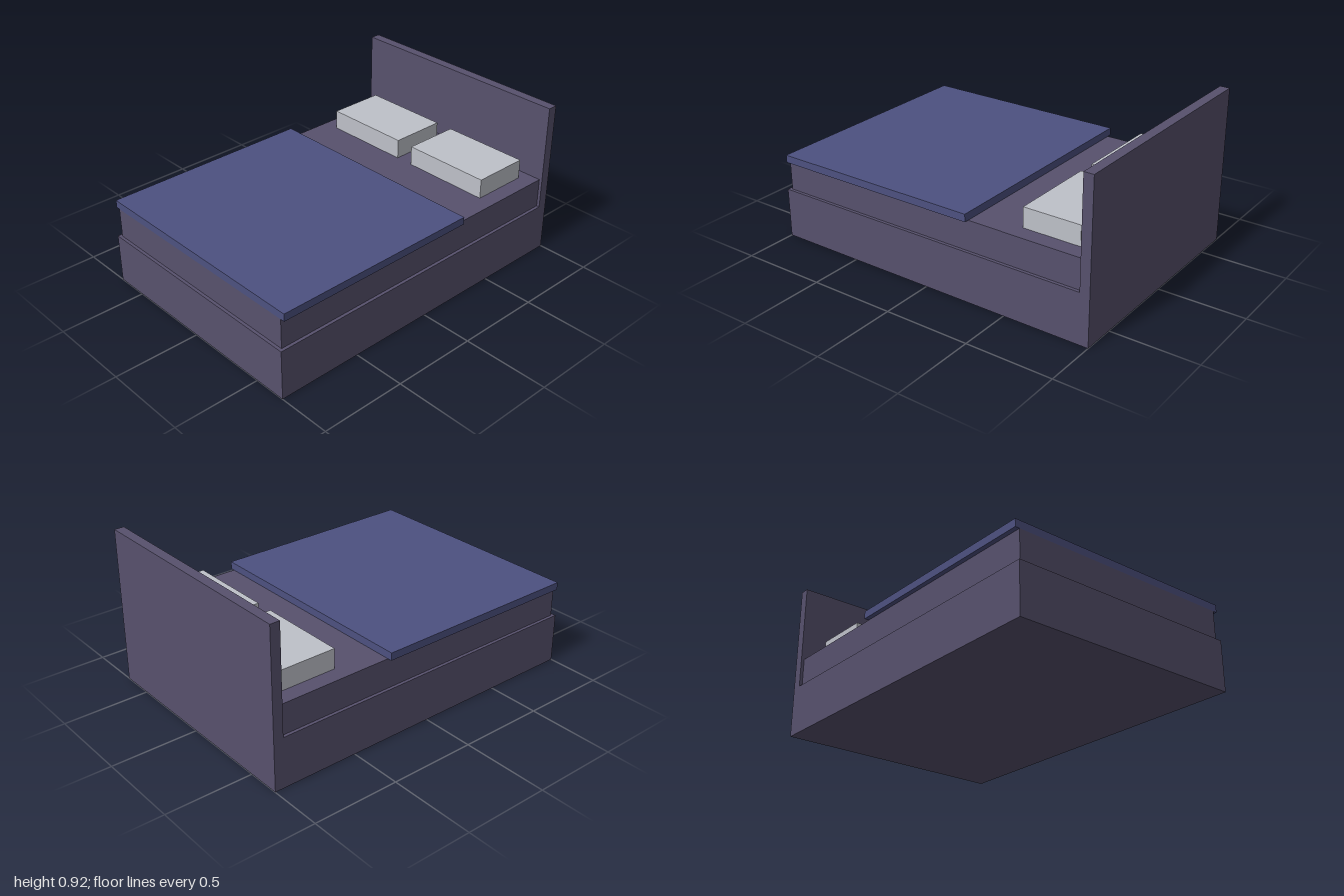
import * as THREE from 'three';

const material = (name, color) => {
  const m = new THREE.MeshStandardMaterial({ color });
  m.name = name;
  return m;
};

// Box given by its [min, max] extent along each axis
function block(name, mat, [x0, x1], [y0, y1], [z0, z1]) {
  const mesh = new THREE.Mesh(new THREE.BoxGeometry(x1 - x0, y1 - y0, z1 - z0), mat);
  mesh.position.set((x0 + x1) / 2, (y0 + y1) / 2, (z0 + z1) / 2);
  mesh.name = name;
  return mesh;
}

export function createModel() {
  const bed = new THREE.Group();
  bed.name = 'bed';
  const purple = material('dusky purple', 0x57516d);
  const blue = material('blanket blue', 0x4d5180);
  const grey = material('pillow grey', 0xbec1c9);

  // Frame and mattress
  bed.add(
    block('base', purple, [-0.692, 0.692], [0, 0.29], [-0.943, 1]),
    block('headboard', purple, [-0.692, 0.692], [0, 0.915], [-1, -0.943]),
    block('mattress', purple, [-0.674, 0.674], [0.29, 0.463], [-0.943, 0.982]),
  );

  // Blanket overhangs the mattress sides
  bed.add(block('blanket', blue, [-0.7, 0.7], [0.463, 0.507], [-0.27, 0.982]));

  // Pair of pillows
  bed.add(
    block('leftPillow', grey, [0.053, 0.58], [0.463, 0.578], [-0.873, -0.538]),
    block('rightPillow', grey, [-0.58, -0.053], [0.463, 0.578], [-0.873, -0.538]),
  );
  return bed;
}
